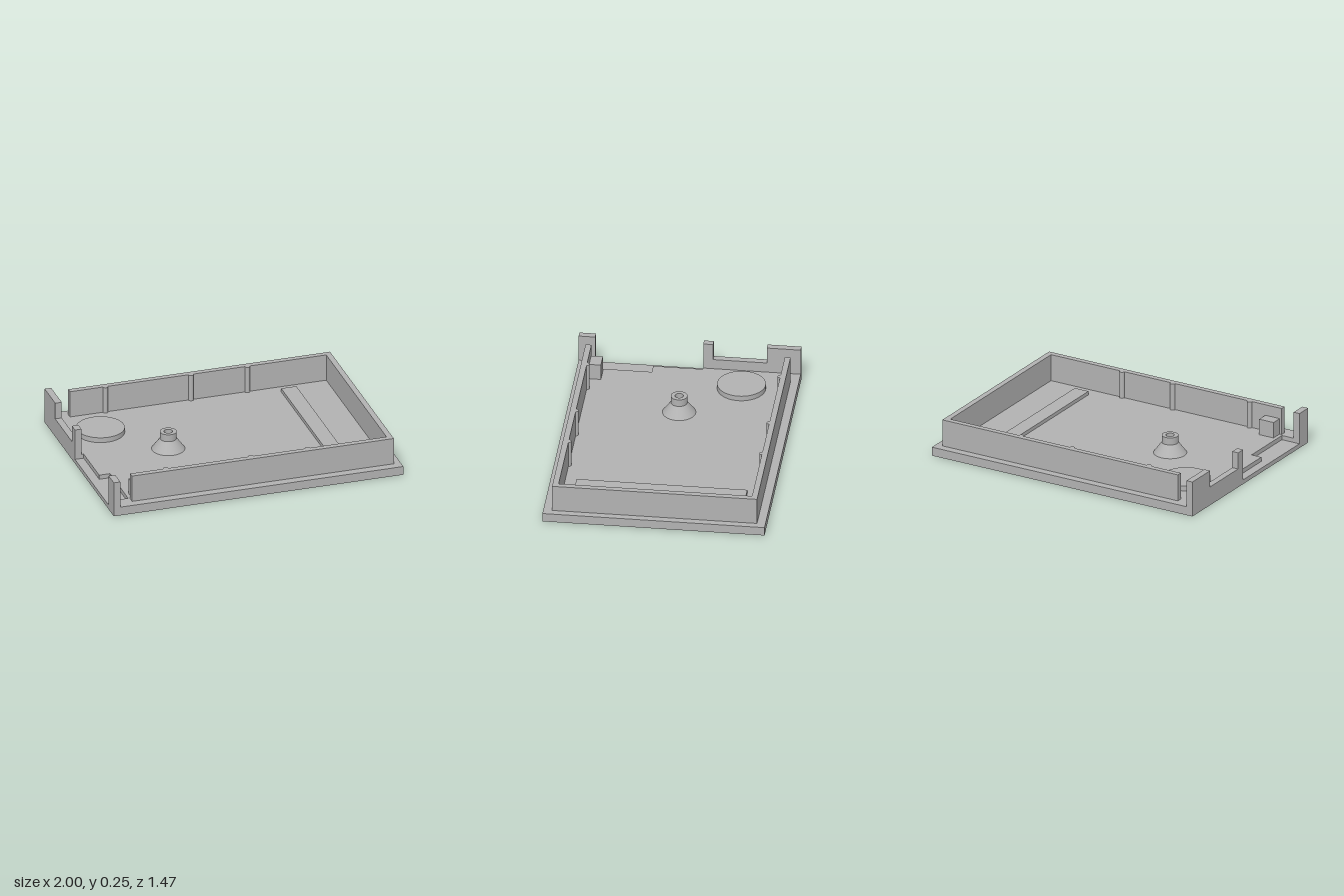
import * as THREE from 'three';

export function createModel() {
  const group = new THREE.Group();
  const gray = new THREE.MeshStandardMaterial({ color: 0xb2b2b2 });
  gray.name = 'gray plastic';

  const FLOOR = 0.06, TOP = 0.245;
  const add = (name, geometry) => {
    const mesh = new THREE.Mesh(geometry, gray);
    mesh.name = name;
    group.add(mesh);
    return mesh;
  };
  // Box given by its limits on each axis
  const box = (name, x0, x1, y0, y1, z0, z1) =>
    add(name, new THREE.BoxGeometry(x1 - x0, y1 - y0, z1 - z0))
      .position.set((x0 + x1) / 2, (y0 + y1) / 2, (z0 + z1) / 2);
  // Plan shape (x, -z) raised from y0 to y1
  const raise = (name, shape, y0, y1) => {
    const g = new THREE.ExtrudeGeometry(shape, { depth: y1 - y0, bevelEnabled: false, curveSegments: 10 });
    add(name, g.rotateX(-Math.PI / 2).translate(0, y0, 0));
  };

  // Base plate, with a stepped recess cut into the upper layer at the open end
  box('basePlate', -1, 1, 0, 0.03, -0.735, 0.735);
  const plan = [
    [-1, 0.735], [1, 0.735], [1, -0.735], [-1, -0.735], [-1, -0.09],
    [-0.94, -0.09], [-0.94, 0.24], [-0.865, 0.24], [-0.865, 0.625], [-1, 0.625],
  ];
  raise('floor', new THREE.Shape(plan.map(([x, z]) => new THREE.Vector2(x, -z))), 0.03, FLOOR);

  // Three-sided inner wall with half-round ribs on both long sides
  const ribs = [-0.61, -0.02, 0.37], ribRadius = 0.018;
  const wall = new THREE.Shape();
  wall.moveTo(-0.855, -0.677);
  wall.lineTo(0.953, -0.677);
  wall.lineTo(0.953, 0.68);
  wall.lineTo(-0.855, 0.68);
  wall.lineTo(-0.855, 0.642);
  ribs.forEach((x) => wall.absarc(x, 0.642, ribRadius, Math.PI, 2 * Math.PI, false));
  wall.lineTo(0.915, 0.642);
  wall.lineTo(0.915, -0.638);
  [...ribs].reverse().forEach((x) => wall.absarc(x, -0.638, ribRadius, 0, Math.PI, false));
  wall.lineTo(-0.855, -0.638);
  raise('ribbedWall', wall, FLOOR, TOP);

  // Broken end wall: back section, low sill, post and front post
  box('endWallBack', -1, -0.955, FLOOR, TOP, -0.735, -0.51);
  box('endWallSill', -1, -0.955, FLOOR, 0.13, -0.51, -0.155);
  box('endWallPost', -1, -0.955, FLOOR, TOP, -0.155, -0.09);
  box('endWallFront', -1, -0.955, FLOOR, TOP, 0.625, 0.735);

  // Raised details on the floor
  box('supportStrip', 0.58, 0.685, FLOOR, 0.085, -0.57, 0.56);
  box('cornerBlock', -0.84, -0.73, FLOOR, 0.17, 0.56, 0.64);
  add('roundPad', new THREE.CylinderGeometry(0.16, 0.16, 0.035, 64))
    .position.set(-0.733, FLOOR + 0.0175, -0.37);

  // Conical screw boss with a blind hole; repeated points keep the rims sharp
  const bossProfile = [
    [0.11, FLOOR], [0.055, 0.135], [0.055, 0.185], [0.028, 0.185], [0.028, 0.08], [0, 0.08],
  ];
  const boss = new THREE.Group();
  boss.name = 'screwBoss';
  boss.position.set(-0.385, 0, 0);
  for (let i = 0; i < bossProfile.length - 1; i++) {
    const points = bossProfile.slice(i, i + 2).map(([r, y]) => new THREE.Vector2(r, y));
    const part = new THREE.Mesh(new THREE.LatheGeometry(points, 48), gray);
    part.name = ['bossCone', 'bossCollar', 'bossRim', 'bossHole', 'bossHoleFloor'][i];
    boss.add(part);
  }
  group.add(boss);

  return group;
}
